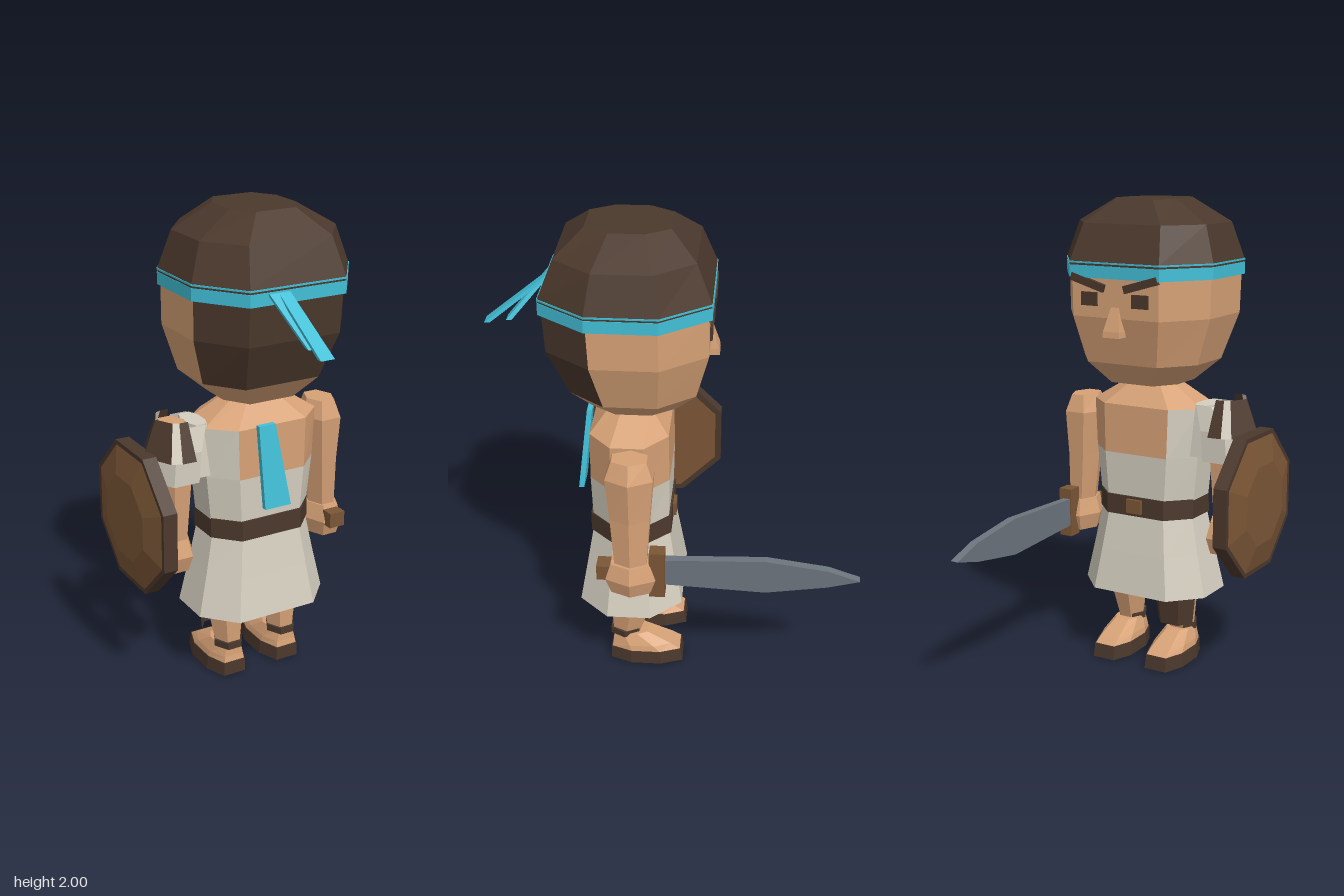
import * as THREE from 'three';

const mat = (name, color, side = THREE.FrontSide) => {
  const m = new THREE.MeshStandardMaterial({ color, side, flatShading: true });
  m.name = name;
  return m;
};

// Cross-sections, counter-clockwise from above
const OCT = [[.6, 1], [1, .42], [1, -.42], [.6, -1], [-.6, -1], [-1, -.42], [-1, .42], [-.6, 1]];
const HEX = [[.5, 1], [1, 0], [.5, -1], [-.5, -1], [-1, 0], [-.5, 1]];

// Stack of rings [y, cx, cz, halfX, halfZ] from bottom to top; sides picks some of the faces
function loft(rings, shape = OCT, { sides = null, bottom = true, top = true } = {}) {
  const n = shape.length, pos = [];
  const pt = (r, i) => [r[1] + shape[i % n][0] * r[3], r[0], r[2] + shape[i % n][1] * r[4]];
  const list = sides || shape.map((_, i) => i);
  for (let k = 0; k + 1 < rings.length; k++) {
    for (const i of list) {
      const a = pt(rings[k], i), b = pt(rings[k], i + 1), c = pt(rings[k + 1], i + 1), d = pt(rings[k + 1], i);
      pos.push(...a, ...b, ...c, ...a, ...c, ...d);
    }
  }
  const lo = rings[0], hi = rings[rings.length - 1];
  for (let i = 0; i < n; i++) {
    if (bottom) pos.push(lo[1], lo[0], lo[2], ...pt(lo, i + 1), ...pt(lo, i));
    if (top) pos.push(hi[1], hi[0], hi[2], ...pt(hi, i), ...pt(hi, i + 1));
  }
  const g = new THREE.BufferGeometry();
  g.setAttribute('position', new THREE.Float32BufferAttribute(pos, 3));
  g.computeVertexNormals();
  return g;
}

export function createModel() {
  const model = new THREE.Group();
  model.name = 'warrior';
  const skin = mat('skin', 0xd6a176);
  const brown = mat('dark brown', 0x4b382c, THREE.DoubleSide);
  const hairDark = mat('hair', 0x4b382c);
  const cloth = mat('linen', 0xd4cebf, THREE.DoubleSide);
  const teal = mat('teal', 0x42bfd7);
  const wood = mat('wood', 0x7b5636);
  const steel = mat('steel', 0x6c747d);

  const add = (name, geo, material, parent = model) => {
    const m = new THREE.Mesh(geo, material);
    m.name = name;
    parent.add(m);
    return m;
  };
  const box = (name, w, h, d, x, y, z, material) => {
    const m = add(name, new THREE.BoxGeometry(w, h, d), material);
    m.position.set(x, y, z);
    return m;
  };

  // Head: skin front and sides, hair at the back
  const hx = .055, hz = .18;
  const jaw = [1.335, hx, hz - .02, .275, .25];
  const cheek = [1.53, hx, hz - .005, .337, .315], brow = [1.71, hx, hz, .34, .32];
  add('jaw', loft([[1.24, hx, hz - .02, .165, .17], jaw], OCT, { top: false }), skin);
  add('face', loft([jaw, cheek, brow], OCT, { sides: [1, 2, 3, 4, 5], top: false, bottom: false }), skin);
  add('backHair', loft([jaw, cheek, brow], OCT, { sides: [6, 7, 0], top: false, bottom: false }), hairDark);
  add('headband', loft([[1.69, hx, hz, .352, .332], [1.74, hx, hz, .352, .332]]), teal);
  add('headbandTrim', loft([[1.748, hx, hz, .353, .333], [1.755, hx, hz, .353, .333]]), teal);
  add('topHair', loft([[1.74, hx, hz, .35, .33], [1.755, hx, hz, .35, .33],
    [1.905, hx, hz, .302, .27], [2, hx, hz - .005, .145, .165]]), hairDark);

  // Nose, eyes and brows
  add('nose', loft([[1.455, hx, -.12, .04, .055], [1.48, hx, -.12, .038, .052], [1.575, hx, -.12, .018, .022]],
    [[1, 1], [1, -1], [-1, -1], [-1, 1]]), skin);
  for (const s of [-1, 1]) {
    box('eye', .075, .055, .03, hx + s * .12, 1.605, -.135, brown);
    const b = box('eyebrow', .16, .032, .03, hx + s * .125, 1.672, -.142, brown);
    b.rotation.z = s * .28;
  }

  // Ribbons: flat strips from one point to another, [x, y, z, halfWidth]
  const ribbon = (name, a, b) => {
    const sq = [[1, 1], [1, -1], [-1, -1], [-1, 1]];
    add(name, loft([[b[1], b[0], b[2], b[3], .011], [a[1], a[0], a[2], a[3], .011]], sq), teal);
  };
  ribbon('headbandTail', [-.015, 1.735, .51, .025], [.015, 1.54, .76, .03]);
  ribbon('headbandTail', [-.05, 1.735, .51, .03], [.018, 1.555, .67, .027]);
  ribbon('backRibbon', [.012, 1.155, .36, .038], [.045, .81, .398, .06]);

  // Torso: tunic over one shoulder
  const bx = .055, bz = .18;
  const chest = [.93, bx, bz, .25, .163], shoulder = [1.14, bx, bz, .26, .16];
  const open = { top: false, bottom: false };
  add('shoulders', loft([shoulder, [1.235, bx, bz, .11, .075]], OCT, { bottom: false }), skin);
  add('neck', loft([[1.2, bx, bz, .09, .07], [1.26, bx, bz, .09, .07]]), skin);
  add('bareChest', loft([chest, shoulder], OCT, { ...open, sides: [7, 0, 1, 2, 3] }), skin);
  add('tunicStrap', loft([chest, shoulder], OCT, { ...open, sides: [4, 5, 6] }), cloth);
  add('tunic', loft([[.7, bx, bz, .226, .158], chest], OCT, open), cloth);
  add('belt', loft([[.66, bx, bz, .232, .168], [.745, bx, bz, .23, .168]]), brown);
  box('buckle', .07, .06, .02, bx, .705, .008, wood);
  add('skirt', loft([[.32, bx, .183, .298, .218], [.5, bx, .181, .258, .188], [.68, bx, bz, .222, .158]], OCT, open), cloth);

  // Legs and sandals
  for (const x of [-.075, .187]) {
    const leg = new THREE.Group();
    leg.name = x < 0 ? 'rightLeg' : 'leftLeg';
    model.add(leg);
    add('calf', loft([[.1, x, .21, .052, .05], [.15, x, .205, .058, .06], [.32, x, .18, .085, .09], [.6, x, .18, .095, .1]], HEX), skin, leg);
    add('ankleStrap', loft([[.122, x, .214, .064, .062], [.152, x, .214, .066, .062]], HEX), brown, leg);
    add('sole', loft([[0, x, .118, .086, .157], [.06, x, .122, .082, .152]]), brown, leg);
    add('foot', loft([[.06, x, .122, .079, .149], [.085, x, .14, .074, .126], [.135, x, .19, .054, .072]]), skin, leg);
  }
  add('shinGuard', loft([[.17, -.075, .14, .085, .055], [.32, -.075, .14, .1, .065]], HEX,
    { sides: [1, 2, 3], top: false, bottom: false }), brown);

  // Arms
  const az = .16;
  add('leftArm', loft([[.66, .413, az, .058, .065], [.88, .4, az, .072, .08], [1.07, .395, az, .092, .095],
    [1.145, .393, az, .06, .07]], HEX), skin);
  add('rightArm', loft([[.66, -.308, .17, .058, .065], [.9, -.303, .17, .072, .08], [1.07, -.3, .17, .082, .09],
    [1.165, -.31, .17, .055, .06]], HEX), skin);
  for (const [name, x] of [['leftHand', .415], ['rightHand', -.31]]) {
    add(name, loft([[.53, x, az, .068, .08], [.6, x, az, .088, .102], [.67, x, az, .068, .08]], HEX), skin);
  }
  add('sleeve', loft([[.93, -.3, .17, .112, .11], [1.06, -.29, .17, .112, .11], [1.16, -.235, .17, .07, .085]], HEX, { bottom: false, top: false }), cloth);
  add('sleeveYoke', loft([[.94, -.21, .17, .06, .09], [1.16, -.215, .17, .04, .075]], OCT), cloth);

  // Shoulder guard: outer half ring of panels with pale stripes, angles in degrees
  const guard = [[170, 195, brown], [195, 213, cloth], [213, 270, brown], [270, 327, brown], [327, 345, cloth], [345, 370, brown]];
  for (const [a, b, m] of guard) {
    const g = new THREE.CylinderGeometry(.085, .14, .15, 1, 1, true,
      THREE.MathUtils.degToRad(a), THREE.MathUtils.degToRad(b - a));
    add(m === brown ? 'shoulderGuard' : 'guardStripe', g, m).position.set(-.3, 1.115, .18);
  }

  // Shield: octagonal, facing -x
  const shield = new THREE.Group();
  shield.name = 'shield';
  shield.position.set(-.415, .77, .125);
  shield.rotation.z = Math.PI / 2;
  model.add(shield);
  const disc = (name, rTop, rBottom, y0, y1, material) => {
    const g = new THREE.CylinderGeometry(rTop, rBottom, y1 - y0, 8, 1, false, Math.PI / 8);
    add(name, g, material, shield).position.y = (y0 + y1) / 2;
  };
  disc('shieldRim', .318, .318, .002, .062, brown);
  disc('shieldBack', .29, .29, -.002, .01, wood);
  disc('shieldFace', .18, .298, .062, .09, wood);
  box('shieldGrip', .09, .05, .05, -.38, .63, .17, wood);

  // Sword pointing to -z
  const blade = new THREE.Shape([[-.03, .685], [.39, .7], [.64, .665], [.77, .62], [.64, .585], [.39, .545], [-.03, .565]]
    .map(([x, y]) => new THREE.Vector2(x, y)));
  const bladeGeo = new THREE.ExtrudeGeometry(blade, { depth: .035, bevelEnabled: false });
  bladeGeo.rotateY(Math.PI / 2);
  add('blade', bladeGeo, steel).position.x = .395;
  box('swordGuard', .06, .215, .064, .42, .622, .052, wood);
  box('swordGrip', .045, .045, .24, .413, .622, .16, wood);
  box('pommel', .072, .066, .055, .412, .622, .272, wood);

  return model;
}
